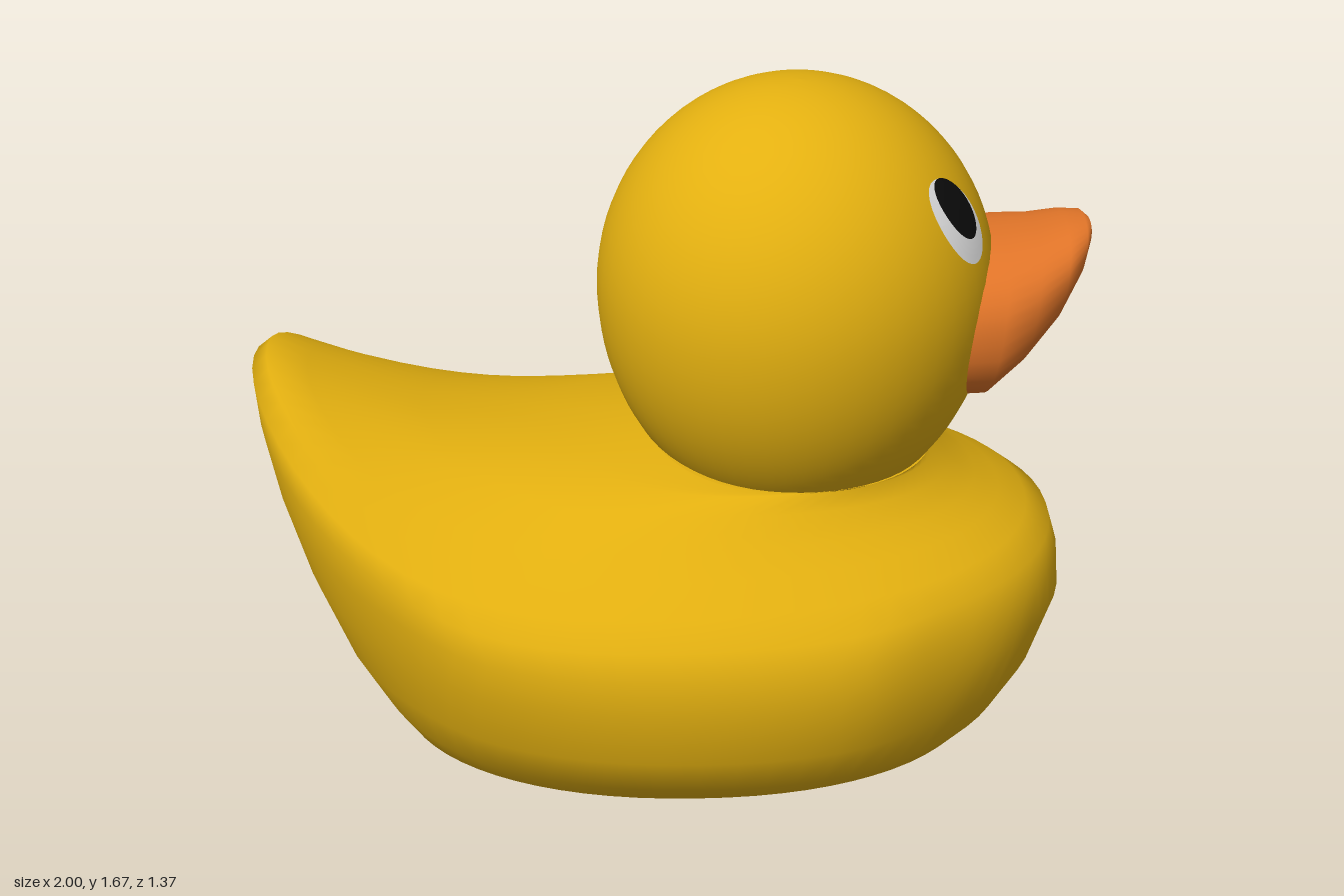
import * as THREE from 'three';

const HEAD_X = 0.305, HEAD_Y = 1.17, HEAD_R = 0.475;

// Radius of the head at height y
function headRadius(y) {
  const t = (y - HEAD_Y) / (y > HEAD_Y ? 0.505 : 0.567);
  return HEAD_R * Math.sqrt(Math.max(0, 1 - t * t));
}

// Signed power, for squarish ovals
const spow = (v, p) => Math.sign(v) * Math.abs(v) ** p;

// Skin through closed rings of Vector3, with sharp-edged end caps
function loft(rings, capStart, capEnd) {
  const n = rings[0].length, pos = [], idx = [];
  rings.forEach(r => r.forEach(p => pos.push(p.x, p.y, p.z)));
  for (let i = 0; i < rings.length - 1; i++) {
    for (let j = 0; j < n; j++) {
      const a = i * n + j, b = i * n + (j + 1) % n;
      idx.push(a, a + n, b, b, a + n, b + n);
    }
  }
  const cap = (ring, flip) => {
    const base = pos.length / 3, c = new THREE.Vector3();
    ring.forEach(p => { pos.push(p.x, p.y, p.z); c.addScaledVector(p, 1 / n); });
    pos.push(c.x, c.y, c.z);
    for (let j = 0; j < n; j++) {
      const a = base + j, b = base + (j + 1) % n;
      idx.push(base + n, flip ? b : a, flip ? a : b);
    }
  };
  if (capStart) cap(rings[0], false);
  if (capEnd) cap(rings[rings.length - 1], true);
  const g = new THREE.BufferGeometry();
  g.setAttribute('position', new THREE.Float32BufferAttribute(pos, 3));
  g.setIndex(idx);
  g.computeVertexNormals();
  return g;
}

// Body rings: front x, front y, back x, back y, half width, side y, wing bulge
function bodyGeometry() {
  const rows = [
    [0.74, 0.005, -0.62, 0.005, 0.42, 0, 0],
    [0.79, 0.03, -0.68, 0.03, 0.50, 0.03, 0],
    [0.86, 0.13, -0.74, 0.14, 0.60, 0.13, 0.01],
    [0.93, 0.25, -0.82, 0.29, 0.64, 0.24, 0.025],
    [0.98, 0.40, -0.90, 0.50, 0.655, 0.38, 0.03],
    [0.972, 0.49, -0.96, 0.72, 0.65, 0.47, 0.03],
    [0.95, 0.56, -0.99, 0.88, 0.635, 0.535, 0.02],
    [0.89, 0.605, -1.0, 0.99, 0.60, 0.59, 0],
    [0.82, 0.64, -0.965, 1.02, 0.53, 0.645, 0],
    [0.76, 0.675, -0.87, 0.98, 0.47, 0.69, 0],
    [0.70, 0.715, -0.60, 0.875, 0.40, 0.745, 0],
    [0.66, 0.76, -0.30, 0.825, 0.36, 0.78, 0],
    [0.645, 0.775, -0.06, 0.82, 0.345, 0.78, 0],
  ];
  const n = 72;
  return loft(rows.map(([fx, fy, bx, by, w, sy, bulge]) => {
    const ring = [];
    for (let j = 0; j < n; j++) {
      const a = j / n * Math.PI * 2, c = Math.cos(a), s = Math.sin(a);
      const x = (fx + bx) / 2 + (fx - bx) / 2 * spow(c, 0.93);
      const y = c > 0 ? sy + (fy - sy) * c * c : sy + (by - sy) * Math.abs(c) ** 3;
      const wing = 1 - THREE.MathUtils.smoothstep(Math.abs(x), 0.42, 0.68);
      ring.push(new THREE.Vector3(x, y, w * spow(s, 0.93) + Math.sign(s) * bulge * wing));
    }
    return ring;
  }), true, true);
}

// Beak sections: top x, top y, bottom x, bottom y, half width
function beakGeometry() {
  const rows = [
    [0.70, 1.30, 0.62, 0.91, 0.265],
    [0.79, 1.31, 0.745, 0.915, 0.265],
    [0.87, 1.315, 0.83, 0.99, 0.225],
    [0.94, 1.33, 0.91, 1.09, 0.175],
    [0.985, 1.335, 0.965, 1.19, 0.115],
    [1.0, 1.325, 0.997, 1.265, 0.05],
  ];
  const n = 40;
  return loft(rows.map(([tx, ty, bx, by, w]) => {
    const ring = [];
    for (let j = 0; j < n; j++) {
      const a = j / n * Math.PI * 2, t = (1 + spow(Math.cos(a), 0.88)) / 2;
      ring.push(new THREE.Vector3(bx + (tx - bx) * t, by + (ty - by) * t, -w * spow(Math.sin(a), 0.88)));
    }
    return ring;
  }), false, true);
}

// Oval patch laid on the head surface
function eyePatch(y0, z0, ry, rz, lift, side) {
  const g = new THREE.RingGeometry(0.001, 1, 32, 6), p = g.attributes.position;
  const tilt = 0.22;
  for (let i = 0; i < p.count; i++) {
    const u = p.getX(i) * rz, v = p.getY(i) * ry;
    const z = z0 + u * Math.cos(tilt) - v * Math.sin(tilt);
    const y = y0 + u * Math.sin(tilt) + v * Math.cos(tilt);
    const x = HEAD_X + lift + Math.sqrt(headRadius(y) ** 2 - z * z);
    p.setXYZ(i, x, y, z * side);
  }
  // Reverse the winding where needed so the patch faces outward
  if (side > 0) {
    const k = g.index.array;
    for (let i = 0; i < k.length; i += 3) [k[i], k[i + 1]] = [k[i + 1], k[i]];
  }
  g.computeVertexNormals();
  return g;
}

export function createModel() {
  const mat = (name, color, side = THREE.FrontSide) => {
    const m = new THREE.MeshStandardMaterial({ color, side });
    m.name = name;
    return m;
  };
  const yellow = mat('yellow', 0xe3b010);
  const orange = mat('orange', 0xe07428);
  const white = mat('white', 0xececec, THREE.DoubleSide);
  const black = mat('black', 0x0c0c0c, THREE.DoubleSide);

  const model = new THREE.Group();
  model.name = 'bathDuck';
  const add = (name, geometry, material) => {
    const mesh = new THREE.Mesh(geometry, material);
    mesh.name = name;
    model.add(mesh);
    return mesh;
  };

  add('body', bodyGeometry(), yellow);

  // Head, turned from the radius rule and sunk a little into the body
  const profile = [];
  for (let i = 0; i <= 40; i++) {
    const y = HEAD_Y - 0.42 + (1 - Math.cos(i / 40 * Math.PI)) / 2 * 0.925;
    profile.push(new THREE.Vector2(i === 40 ? 0 : headRadius(y), y));
  }
  add('head', new THREE.LatheGeometry(profile, 56), yellow).position.x = HEAD_X;

  add('beak', beakGeometry(), orange);

  // Eyes on both sides
  for (const side of [1, -1]) {
    const label = side > 0 ? 'front' : 'back';
    add(label + 'EyeWhite', eyePatch(1.408, 0.222, 0.098, 0.069, 0.005, side), white);
    add(label + 'Pupil', eyePatch(1.436, 0.214, 0.07, 0.048, 0.009, side), black);
  }
  return model;
}
